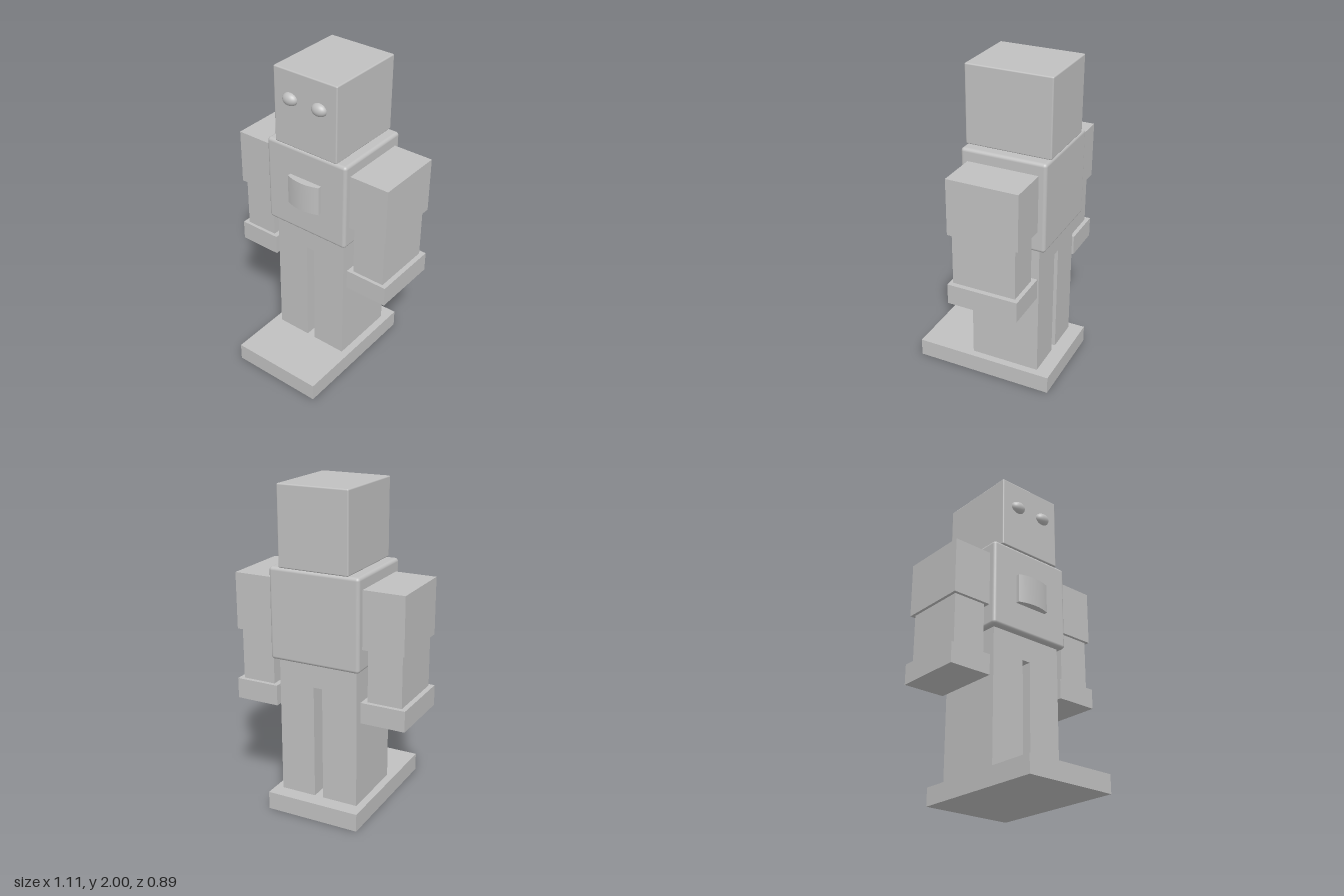
import * as THREE from 'three';
import { RoundedBoxGeometry } from 'three/addons/geometries/RoundedBoxGeometry.js';
import { toCreasedNormals } from 'three/addons/utils/BufferGeometryUtils.js';

export function createModel() {
  const robot = new THREE.Group();
  robot.name = 'robot';
  const grey = new THREE.MeshStandardMaterial({ color: 0xc0c0c0 });
  grey.name = 'plain grey';

  function add(name, geometry, x = 0, y = 0, z = 0) {
    const mesh = new THREE.Mesh(geometry, grey);
    mesh.name = name;
    mesh.position.set(x, y, z);
    robot.add(mesh);
    return mesh;
  }

  // Block given by its limits on each axis; a radius rounds its edges
  function block(name, [x0, x1], [y0, y1], [z0, z1], radius = 0) {
    const size = [x1 - x0, y1 - y0, z1 - z0];
    const geometry = radius
      ? new RoundedBoxGeometry(...size, 4, radius)
      : new THREE.BoxGeometry(...size);
    add(name, geometry, (x0 + x1) / 2, (y0 + y1) / 2, (z0 + z1) / 2);
  }

  // Centre line
  block('base', [-0.299, 0.299], [0, 0.112], [-0.444, 0.444]);
  block('pelvis', [-0.252, 0.252], [0.82, 0.985], [-0.352, 0.088]);
  block('torso', [-0.286, 0.286], [0.971, 1.526], [-0.398, 0.13], 0.02);
  block('head', [-0.221, 0.221], [1.526, 2], [-0.398, 0.13], 0.008);

  // Limbs and eyes, mirrored
  for (const [side, s] of [['left', 1], ['right', -1]]) {
    const span = (a, b) => (s > 0 ? [a, b] : [-b, -a]);
    block(side + 'Shin', span(0.028, 0.252), [0.112, 0.434], [-0.352, 0.088]);
    block(side + 'Thigh', span(0.028, 0.252), [0.434, 0.82], [-0.352, 0.088]);
    block(side + 'UpperArm', span(0.286, 0.541), [1.105, 1.452], [-0.353, 0.086]);
    block(side + 'Forearm', span(0.31, 0.522), [0.785, 1.105], [-0.328, 0.066]);
    block(side + 'Hand', span(0.278, 0.553), [0.658, 0.785], [-0.354, 0.087]);

    const eye = add(side + 'Eye', new THREE.SphereGeometry(1, 32, 20), s * 0.102, 1.829, 0.13);
    eye.scale.set(0.05, 0.039, 0.036);
  }

  // Chest panel with a bowed front
  const outline = new THREE.Shape();
  outline.moveTo(-0.113, -0.12);
  outline.lineTo(-0.113, -0.153);
  outline.quadraticCurveTo(0, -0.199, 0.113, -0.153);
  outline.lineTo(0.113, -0.12);
  outline.closePath();
  const panel = new THREE.ExtrudeGeometry(outline, { depth: 0.186, bevelEnabled: false, curveSegments: 20 });
  panel.rotateX(-Math.PI / 2);
  add('chestPanel', toCreasedNormals(panel, 0.4), 0, 1.155, 0);

  return robot;
}
